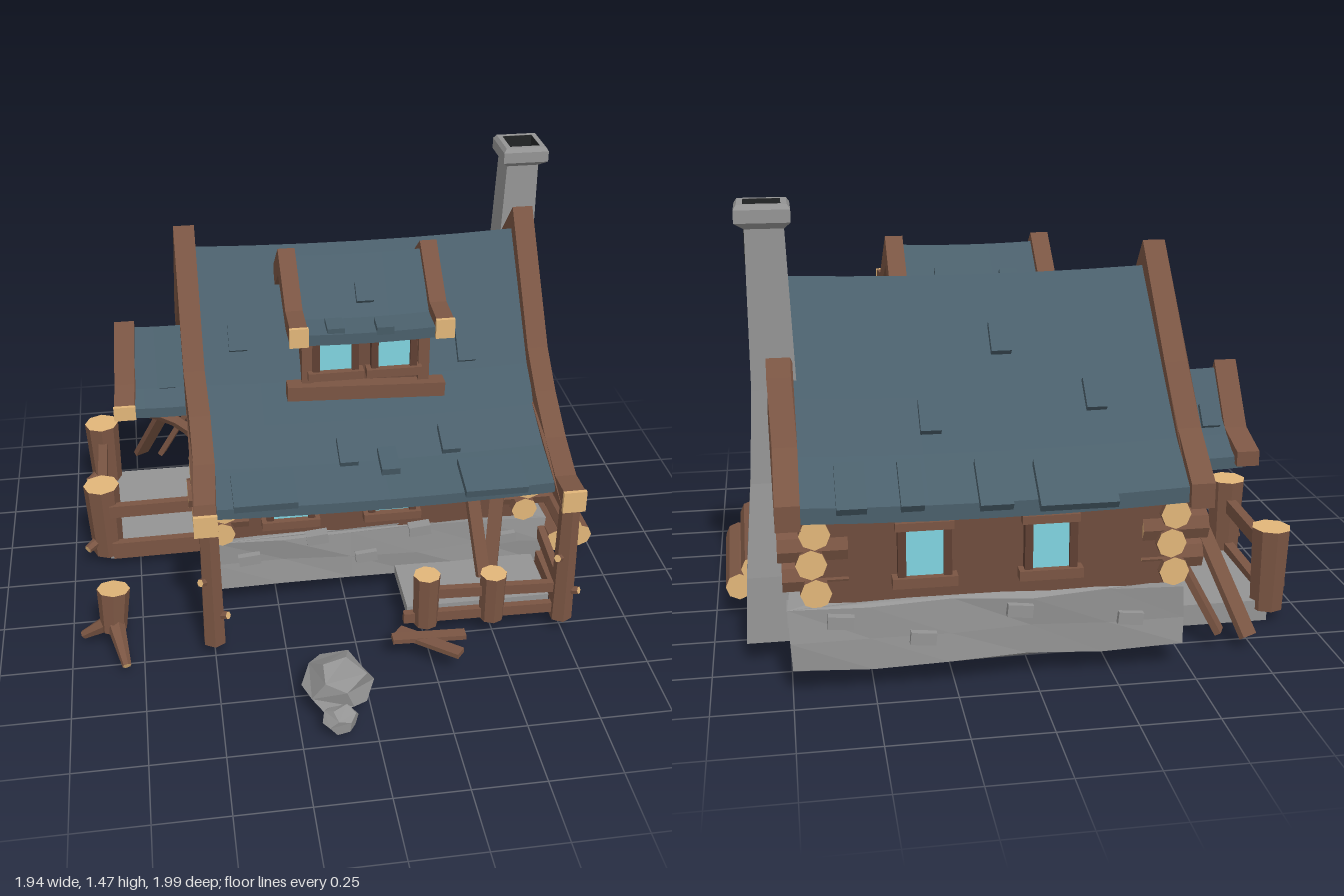
import * as THREE from 'three';

const paint = (color) => new THREE.MeshStandardMaterial({ color, flatShading: true, side: THREE.DoubleSide });
const V = (x, y, z) => new THREE.Vector3(x, y, z);

export function createModel() {
  const root = new THREE.Group();
  root.name = 'cabin';
  const wood = paint(0x7a5543), wall = paint(0x6f4c3d), dark = paint(0x5f4033), cut = paint(0xe2b679);
  const slate = paint(0x4a5f6b), stone = paint(0x949494), glass = paint(0x80d4e0), soot = paint(0x222426);

  const add = (name, geo, mat, parent = root) => {
    const m = new THREE.Mesh(geo, mat);
    m.name = name;
    parent.add(m);
    return m;
  };
  const box = (name, w, h, d, x, y, z, mat, rot = [0, 0, 0]) => {
    const m = add(name, new THREE.BoxGeometry(w, h, d), mat);
    m.position.set(x, y, z);
    m.rotation.set(...rot);
    return m;
  };
  // Plank of section w x h from a to b
  const beam = (name, a, b, w, h) => {
    const m = add(name, new THREE.BoxGeometry(w, h, a.distanceTo(b)), wood);
    m.position.copy(a).lerp(b, 0.5);
    m.lookAt(b);
  };
  // Round timber with pale cut ends
  const log = (name, a, b, r, r2 = r, sides = 8) => {
    const m = add(name, new THREE.CylinderGeometry(r2, r, a.distanceTo(b), sides), [wood, cut, cut]);
    m.position.copy(a).lerp(b, 0.5);
    m.quaternion.setFromUnitVectors(V(0, 1, 0), b.clone().sub(a).normalize());
  };
  // Position-based wobble that keeps shared corners together
  const jitter = (geo, s) => {
    const p = geo.attributes.position, h = (a) => { const v = Math.sin(a) * 43758.5; return (v - Math.floor(v) - 0.5) * 2 * s; };
    for (let i = 0; i < p.count; i++) {
      const k = Math.round(p.getX(i) * 200) * 1.3 + Math.round(p.getY(i) * 200) * 2.7 + Math.round(p.getZ(i) * 200) * 5.1;
      p.setXYZ(i, p.getX(i) + h(k), p.getY(i) + h(k + 1.7), p.getZ(i) + h(k + 3.9));
    }
    geo.computeVertexNormals();
    return geo;
  };
  // Closed (z, y) outline extruded along x, with an optional sag mid-span
  const sideExtrude = (pts, x0, x1, sag = 0) => {
    const shape = new THREE.Shape(pts.map(([z, y]) => new THREE.Vector2(-z, y)));
    const geo = new THREE.ExtrudeGeometry(shape, { depth: x1 - x0, steps: sag ? 6 : 1, bevelEnabled: false });
    geo.rotateY(Math.PI / 2).translate(x0, 0, 0);
    const p = geo.attributes.position;
    for (let i = 0; sag && i < p.count; i++) {
      const t = (p.getX(i) - x0) / (x1 - x0) * 2 - 1;
      p.setY(i, p.getY(i) - sag * (1 - t * t));
    }
    geo.computeVertexNormals();
    return geo;
  };
  // Strip below a roof line of [z, y, drop]
  const strip = (line) => [...line, ...line.map(([z, y, d]) => [z, y - d]).reverse()];
  const bargeBoard = (name, line, x0, x1, wob = 0.008) => {
    const geo = sideExtrude(strip(line), x0, x1), p = geo.attributes.position;
    for (let i = 0; i < p.count; i++) p.setX(i, p.getX(i) + wob * Math.sin(p.getZ(i) * 9));
    geo.computeVertexNormals();
    add(name, geo, wood);
    const [z, y, d] = line[0];
    box(name + 'End', x1 - x0 + 0.006, d + 0.006, 0.014, (x0 + x1) / 2 + wob * Math.sin(z * 9), y - d / 2, z, cut);
  };
  // Raised shingle lying on a roof line at (x, z)
  const shingle = (line, x, z, w = 0.065, len = 0.11) => {
    const i = line.findIndex((p, j) => j < line.length - 1 && z <= p[0] && z >= line[j + 1][0]);
    const [a, b] = [line[i], line[i + 1]], s = (a[1] - b[1]) / (a[0] - b[0]);
    box('shingle', w, 0.03, len, x, b[1] + s * (z - b[0]), z, slate, [-Math.atan(s), 0, 0]);
  };
  // Stack of rectangles [y, x0, x1, z0, z1]
  const loft = (rings) => {
    const pos = [], idx = [];
    rings.forEach(([y, x0, x1, z0, z1]) => pos.push(x0, y, z1, x1, y, z1, x1, y, z0, x0, y, z0));
    for (let r = 0; r < rings.length - 1; r++) for (let j = 0; j < 4; j++) {
      const a = r * 4 + j, b = r * 4 + (j + 1) % 4;
      idx.push(a, b, b + 4, a, b + 4, a + 4);
    }
    idx.push(0, 3, 2, 0, 2, 1);
    const g = new THREE.BufferGeometry();
    g.setAttribute('position', new THREE.Float32BufferAttribute(pos, 3));
    g.setIndex(idx);
    g.computeVertexNormals();
    return g;
  };

  // Stone footing: a thin open ring with uneven edges
  const ringPts = (x0, x1, z0, z1, n = 5) => {
    const c = [[x0, z1], [x1, z1], [x1, z0], [x0, z0]], out = [];
    c.forEach(([x, z], i) => { const [u, v] = c[(i + 1) % 4]; for (let k = 0; k < n; k++) out.push(new THREE.Vector2(x + (u - x) * k / n, -(z + (v - z) * k / n))); });
    return out;
  };
  const footShape = new THREE.Shape(ringPts(-0.47, 0.75, -0.92, 0.23));
  footShape.holes.push(new THREE.Path(ringPts(-0.425, 0.685, -0.87, 0.185).reverse()));
  const foot = new THREE.ExtrudeGeometry(footShape, { depth: 0.2, steps: 2, bevelEnabled: false });
  add('footing', jitter(foot.rotateX(-Math.PI / 2).translate(0, 0.09, 0), 0.009), stone);
  const footStones = [[-0.35, 0.22, 0.23], [-0.1, 0.28, 0.22], [0.08, 0.19, 0.23], [0.28, 0.28, 0.22], [0.6, 0.22, 0.23], [-0.3, 0.2, -0.92], [0.05, 0.25, -0.92], [0.35, 0.18, -0.92], [0.6, 0.25, -0.92]];
  footStones.forEach(([x, y, z]) => box('footingStone', 0.08, 0.04, 0.04, x, y, z, stone, [0, 0, 0.1]));
  [[0.03, 0.3], [-0.3, 0.2], [-0.82, 0.24]].forEach(([z, y]) => box('footingStone', 0.04, 0.05, 0.11, 0.74, y, z, stone, [0.1, 0, 0]));

  // Walls, a shell open underneath
  const gable = [[0.2, 0.1], [0.2, 0.56], [0.09, 0.62], [-0.02, 0.74], [-0.35, 1.15], [-0.66, 0.81], [-0.8, 0.66], [-0.88, 0.6], [-0.88, 0.1]];
  add('rightGable', sideExtrude(gable, 0.67, 0.7), wall);
  add('leftGable', sideExtrude(gable, -0.44, -0.41), wall);
  box('frontWall', 1.1, 0.475, 0.03, 0.13, 0.3375, 0.185, wall);
  box('backWall', 1.1, 0.51, 0.03, 0.13, 0.355, -0.865, wall);

  // Corner log ends, crossing
  for (const [x, sx] of [[0.67, 1], [-0.445, -1]]) for (const [z, sz] of [[0.16, 1], [-0.83, -1]]) for (let i = 0; i < 3; i++) {
    const s = 0.012 * (i % 2);
    log('cornerLog', V(x - sx * 0.1, 0.37 + i * 0.1, z - s), V(x + sx * (0.1 + s), 0.37 + i * 0.1, z - s), 0.053);
    log('cornerLog', V(x + s, 0.335 + i * 0.095, z - sz * 0.1), V(x + s, 0.335 + i * 0.095, z + sz * 0.075), 0.048);
  }

  // Windows: glass, jambs, head and sill; ry turns the outward face
  const windowUnit = (x, y, z, w, h, ry) => {
    const g = new THREE.Group();
    g.name = 'window';
    g.position.set(x, y, z);
    g.rotation.y = ry;
    root.add(g);
    const part = (n, a, b, c, px, py, m) => add(n, new THREE.BoxGeometry(a, b, c), m, g).position.set(px, py, 0);
    part('pane', w, h, 0.03, 0, 0, glass);
    for (const s of [-1, 1]) part('jamb', 0.025, h + 0.02, 0.055, s * (w / 2 + 0.01), 0, dark);
    part('lintel', w + 0.06, 0.026, 0.06, 0, h / 2 + 0.012, wood);
    part('sill', w + 0.08, 0.032, 0.08, 0, -h / 2 - 0.016, wood);
  };
  [-0.195, 0.175].forEach((x) => windowUnit(x, 0.455, 0.205, 0.13, 0.16, 0));
  [-0.05, 0.34].forEach((x) => windowUnit(x, 0.45, -0.885, 0.12, 0.15, Math.PI));
  [-0.035, -0.29].forEach((z) => windowUnit(0.705, 0.455, z, 0.115, 0.14, Math.PI / 2));

  // Main roof
  const roof = [[0.43, 0.58, 0.04], [0.25, 0.625, 0.05], [0.09, 0.7, 0.06], [-0.02, 0.81, 0.07], [-0.35, 1.205, 0.07], [-0.66, 0.88, 0.07], [-0.8, 0.74, 0.06], [-0.95, 0.63, 0.05]];
  add('roof', sideExtrude(strip(roof), -0.47, 0.73, 0.014), slate);
  const bargeLine = [[0.43, 0.605, 0.08], [0.25, 0.65, 0.09], [0.09, 0.75, 0.11], [-0.02, 0.87, 0.13], [-0.35, 1.29, 0.14], [-0.66, 0.95, 0.13], [-0.8, 0.77, 0.11], [-0.97, 0.645, 0.08]];
  bargeBoard('rightBargeBoard', [[0.55, 0.615, 0.075], ...bargeLine], 0.715, 0.79);
  bargeBoard('leftBargeBoard', [[0.51, 0.61, 0.075], ...bargeLine], -0.54, -0.465);
  [[-0.34, -0.13], [0.49, -0.07], [0.01, 0.22], [0.15, 0.27], [0.38, 0.2], [-0.23, -0.68], [0.3, -0.72], [0.05, -0.53]].forEach(([x, z]) => shingle(roof, x, z));
  // Uneven eave courses: [x, width, z]
  [[-0.12, 0.24, -0.92], [0.13, 0.1, -0.91], [0.38, 0.07, -0.9], [0.56, 0.09, -0.9]].forEach(([x, w, z]) => shingle(roof, x, z, w, 0.17));
  [[-0.3, 0.22, 0.36], [0.5, 0.22, 0.375]].forEach(([x, w, z]) => shingle(roof, x, z, w, 0.16));

  // Dormer
  add('dormerBody', sideExtrude([[0.015, 0.78], [0.015, 1.08], [-0.11, 1.21], [-0.28, 1.06], [-0.1, 0.86]], -0.12, 0.33), wall);
  const dormer = [[0.16, 1.08, 0.04], [0.06, 1.09, 0.05], [-0.11, 1.255, 0.06], [-0.3, 1.1, 0.06]];
  add('dormerRoof', sideExtrude(strip(dormer), -0.14, 0.34, 0.006), slate);
  const dormerBarge = [[0.18, 1.115, 0.065], [0.06, 1.125, 0.07], [-0.11, 1.285, 0.1], [-0.28, 1.15, 0.09]];
  bargeBoard('dormerBargeBoard', dormerBarge, -0.185, -0.125, 0.004);
  bargeBoard('dormerBargeBoard', dormerBarge, 0.32, 0.38, 0.004);
  [[-0.03, -0.24], [0.19, -0.23], [0.1, 0.0], [-0.02, 0.12], [0.15, 0.13]].forEach(([x, z]) => shingle(dormer, x, z, 0.06, 0.07));
  box('dormerSill', 0.57, 0.055, 0.06, 0.105, 0.785, 0.035, wood, [0, 0, -0.04]);
  box('dormerLintel', 0.46, 0.04, 0.04, 0.105, 1.06, 0.02, wood);
  [-0.105, 0.315].forEach((x) => box('dormerPost', 0.04, 0.28, 0.04, x, 0.93, 0.015, wood));
  [-0.005, 0.205].forEach((x) => windowUnit(x, 0.945, 0.02, 0.12, 0.15, 0));

  // Chimney with open flue
  add('chimney', loft([[0.08, 0.66, 0.89, -0.68, -0.4], [0.3, 0.66, 0.88, -0.67, -0.415], [0.6, 0.68, 0.856, -0.63, -0.45], [0.9, 0.7, 0.84, -0.615, -0.472], [1.4, 0.72, 0.84, -0.61, -0.48],
    [1.42, 0.7, 0.87, -0.63, -0.455], [1.46, 0.7, 0.87, -0.63, -0.455], [1.475, 0.71, 0.86, -0.62, -0.465], [1.475, 0.728, 0.842, -0.602, -0.483]]), stone);
  add('flue', loft([[1.3, 0.728, 0.842, -0.602, -0.483], [1.474, 0.728, 0.842, -0.602, -0.483]]), soot);

  // Firewood beside the wall
  [[0.83, 0.13, 0.17, -0.35], [0.925, 0.13, 0.15, -0.34], [0.87, 0.2, 0.19, -0.36]].forEach(([x, y, a, b]) => log('firewood', V(x, y, a), V(x - 0.01, y, b), 0.047));

  // Front porch: floor, roof posts and fence
  box('frontPorchFloor', 0.52, 0.04, 0.27, 0.45, 0.105, 0.34, stone);
  [[0.745, 0.51], [-0.5, 0.47]].forEach(([x, z]) => {
    log('roofPost', V(x, 0.06, z + 0.01), V(x, 0.55, z), 0.042, 0.036, 6);
    [[0.17, 0.05], [0.32, -0.04]].forEach(([y, d]) => log('branchStub', V(x, y, z), V(x + d, y + 0.02, z + 0.04), 0.017, 0.014, 6));
    beam('porchBeam', V(x, 0.53, 0.2), V(x, 0.53, z), 0.05, 0.05);
  });
  [[0.25, 0.29], [0.49, 0.27]].forEach(([x, y]) => log('fencePost', V(x, 0.08, 0.51), V(x, y, 0.51), 0.045, 0.048));
  beam('fenceRail', V(0.17, 0.11, 0.51), V(0.75, 0.1, 0.51), 0.025, 0.04);
  beam('fenceRail', V(0.25, 0.21, 0.51), V(0.75, 0.19, 0.51), 0.025, 0.04);
  beam('sideRail', V(0.74, 0.1, 0.5), V(0.74, 0.11, 0.2), 0.025, 0.06);
  beam('sideRail', V(0.74, 0.19, 0.5), V(0.74, 0.23, 0.2), 0.025, 0.05);
  beam('leaningPlank', V(0.5, 0.13, 0.34), V(0.46, 0.48, 0.22), 0.05, 0.02);
  beam('leaningPlank', V(0.53, 0.13, 0.32), V(0.57, 0.5, 0.22), 0.05, 0.02);
  beam('groundPlank', V(0.11, 0.11, 0.62), V(0.37, 0.1, 0.62), 0.04, 0.018);
  beam('groundPlank', V(0.14, 0.1, 0.57), V(0.33, 0.11, 0.73), 0.045, 0.018);

  // Side porch: slab, door, gabled canopy and braces
  box('sidePorchSlab', 0.4, 0.075, 0.5, -0.665, 0.045, -0.375, stone);
  box('door', 0.03, 0.4, 0.2, -0.45, 0.3, -0.4, slate);
  [-0.52, -0.28].forEach((z) => box('doorJamb', 0.06, 0.44, 0.035, -0.455, 0.3, z, wood));
  box('doorLintel', 0.065, 0.045, 0.32, -0.455, 0.525, -0.4, wood);
  const canopy = [[-0.2, 0.63, 0.04], [-0.28, 0.67, 0.05], [-0.42, 0.86, 0.07], [-0.57, 0.67, 0.05], [-0.66, 0.62, 0.04]];
  add('canopyRoof', sideExtrude(strip(canopy), -0.74, -0.43, 0.005), slate);
  bargeBoard('canopyBargeBoard', [[-0.18, 0.65, 0.05], [-0.28, 0.69, 0.07], [-0.42, 0.885, 0.1], [-0.57, 0.69, 0.07], [-0.68, 0.64, 0.05]], -0.79, -0.715, 0.012);
  add('canopyGable', sideExtrude([[-0.3, 0.6], [-0.42, 0.79], [-0.55, 0.6]], -0.715, -0.69), wall);
  [[-0.6, -0.3], [-0.66, -0.53]].forEach(([x, z]) => shingle(canopy, x, z, 0.06, 0.08));
  [-0.26, -0.58].forEach((z) => {
    beam('canopyBeam', V(-0.43, 0.59, z), V(-0.74, 0.59, z), 0.04, 0.045);
    const arc = new THREE.QuadraticBezierCurve3(V(-0.46, 0.38, z), V(-0.54, 0.55, z), V(-0.7, 0.585, z));
    add('canopyBrace', new THREE.TubeGeometry(arc, 5, 0.024, 5), wood);
  });

  // Side porch fence and loose boards
  [[-0.13, 0.35], [-0.6, 0.34]].forEach(([z, y]) => {
    log('porchPost', V(-0.87, 0.05, z), V(-0.875, y, z), 0.058, 0.067);
    log('branchStub', V(-0.88, 0.12, z), V(-0.945, 0.1, z + 0.06), 0.022, 0.016, 6);
  });
  [[0.08, 0.07], [0.26, 0.05]].forEach(([y, h]) => {
    beam('porchRail', V(-0.85, y, -0.085), V(-0.48, y + 0.01, -0.075), 0.03, h);
    beam('porchRail', V(-0.875, y, -0.13), V(-0.875, y - 0.01, -0.6), 0.035, h);
  });
  beam('looseBoard', V(-0.73, 0.05, -0.82), V(-0.62, 0.36, -0.62), 0.06, 0.022);
  beam('looseBoard', V(-0.64, 0.06, -0.79), V(-0.5, 0.33, -0.72), 0.05, 0.022);

  // Tree stump with roots
  log('stump', V(-0.85, 0.09, 0.4), V(-0.84, 0.25, 0.38), 0.045, 0.058);
  [[-0.96, 0.37], [-0.81, 0.56]].forEach(([x, z]) => log('root', V(-0.845, 0.13, 0.4), V(x, 0.05, z), 0.034, 0.016, 6));

  // Boulder and its small companion, coarse facets
  const rock = (name, r, scale, pos, rot) => {
    const m = add(name, jitter(new THREE.DodecahedronGeometry(r, 0), r * 0.08), stone);
    m.scale.set(...scale);
    m.position.set(...pos);
    m.rotation.set(...rot);
  };
  rock('boulder', 0.1, [1.25, 0.85, 1.45], [-0.11, 0.11, 0.81], [-0.2, 0.2, 0.1]);
  rock('smallRock', 0.06, [1.1, 0.8, 1], [-0.12, 0.07, 0.94], [0, 0.5, 0]);
  return root;
}
